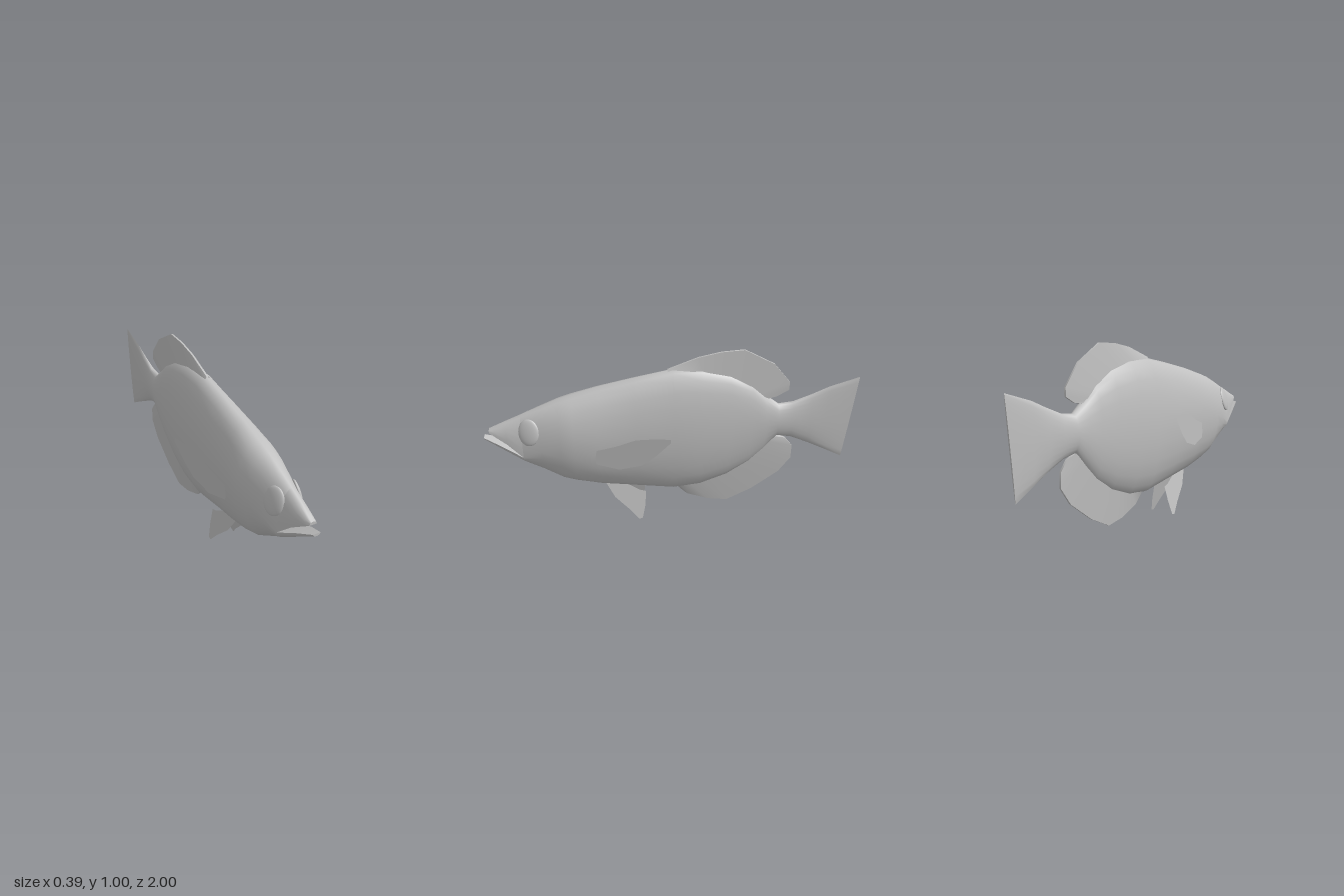
import * as THREE from 'three';
import { toCreasedNormals } from 'three/addons/utils/BufferGeometryUtils.js';

const SEG = 24;

// Joins equal-length rows of [x, y, z] points into a surface, rows running front to back.
function skin(rows, closed) {
  const n = rows[0].length, pos = rows.flat(2), idx = [];
  for (let i = 0; i < rows.length - 1; i++) {
    for (let j = 0; j < (closed ? n : n - 1); j++) {
      const k = (j + 1) % n, a = i * n + j, b = i * n + k;
      idx.push(a, a + n, b, b, a + n, b + n);
    }
  }
  if (closed) {
    // end caps
    [0, rows.length - 1].forEach((r, end) => {
      const c = pos.length / 3;
      for (let q = 0; q < 3; q++) pos.push(rows[r].reduce((t, p) => t + p[q], 0) / n);
      for (let j = 0; j < n; j++) {
        const a = r * n + j, b = r * n + (j + 1) % n;
        if (end) idx.push(c, b, a); else idx.push(c, a, b);
      }
    });
  }
  const g = new THREE.BufferGeometry();
  g.setAttribute('position', new THREE.Float32BufferAttribute(pos, 3));
  g.setIndex(idx);
  return toCreasedNormals(g, 0.9);
}

// Cross-section: half ellipse above and half ellipse below the widest line.
function ring([z, top, mid, bottom, w, lean = 0]) {
  return Array.from({ length: SEG }, (_, j) => {
    const a = j / SEG * Math.PI * 2, s = Math.sin(a);
    const y = mid + s * (s > 0 ? top - mid : mid - bottom);
    return [w * Math.cos(a), y, z - lean * (y - bottom) / (top - bottom)];
  });
}

// Median fin that tapers from a wide root to a thin edge; dir is 1 above, -1 below.
function medianFin(pairs, dir) {
  return skin(pairs.map(([ze, ye, zr, yr]) => [
    [0.022 * dir, yr, zr], [0.005 * dir, ye, ze], [-0.005 * dir, ye, ze], [-0.022 * dir, yr, zr],
  ]), false);
}

// Thin paired fin: outline in (z, y), sideways position given by a rule.
function sideFin(outline, side, xRule) {
  const g = new THREE.ShapeGeometry(new THREE.Shape(outline.map(([z, y]) => new THREE.Vector2(z, y))));
  const p = g.attributes.position;
  for (let i = 0; i < p.count; i++) {
    const z = p.getX(i), y = p.getY(i);
    p.setXYZ(i, side * xRule(z, y), y, z);
  }
  // the left side needs its corners reversed to face outward
  if (side > 0) g.setIndex(Array.from(g.index.array).reverse());
  g.computeVertexNormals();
  return g;
}

export function createModel() {
  const fish = new THREE.Group();
  fish.name = 'fish';
  const grey = new THREE.MeshStandardMaterial({ color: 0xc0c0c0, side: THREE.DoubleSide });
  grey.name = 'grey';
  const add = (name, geometry) => {
    const m = new THREE.Mesh(geometry, grey);
    m.name = name;
    fish.add(m);
    return m;
  };

  // Body and tail: z, top, widest height, bottom, half width, lean
  add('bodyAndTail', skin([
    [0.8, 0.68, 0.455, 0.41, 0.07],
    [0.7, 0.722, 0.5, 0.345, 0.095],
    [0.6, 0.762, 0.53, 0.28, 0.117],
    [0.53, 0.783, 0.54, 0.258, 0.128],
    [0.4, 0.82, 0.54, 0.225, 0.119],
    [0.2, 0.865, 0.54, 0.195, 0.113],
    [0.0, 0.905, 0.54, 0.165, 0.109],
    [-0.15, 0.9, 0.54, 0.18, 0.099],
    [-0.3, 0.865, 0.54, 0.235, 0.08],
    [-0.42, 0.8, 0.55, 0.31, 0.063],
    [-0.5, 0.725, 0.56, 0.39, 0.052],
    [-0.57, 0.67, 0.57, 0.475, 0.043],
    [-0.65, 0.68, 0.57, 0.46, 0.033],
    [-0.75, 0.72, 0.57, 0.415, 0.024],
    [-0.84, 0.76, 0.57, 0.37, 0.016],
    [-0.955, 0.81, 0.57, 0.31, 0.004, 0.045],
  ].map(ring), true));

  // Pointed snout and the lower jaw, parted by the open mouth
  add('snout', skin([
    [0.97, 0.605, 0.588, 0.588, 0.02],
    [0.94, 0.618, 0.57, 0.57, 0.032],
    [0.88, 0.645, 0.53, 0.53, 0.05],
    [0.8, 0.68, 0.455, 0.455, 0.07],
  ].map(ring), true));
  add('lowerJaw', skin([
    [1.0, 0.56, 0.56, 0.546, 0.02],
    [0.9, 0.513, 0.513, 0.478, 0.048],
    [0.8, 0.455, 0.455, 0.41, 0.07],
  ].map(ring), true));

  // Median fins: edge z, y then root z, y
  add('dorsalFin', medianFin([
    [0.03, 0.905, 0.03, 0.88], [-0.13, 0.965, -0.08, 0.87], [-0.25, 0.99, -0.17, 0.86],
    [-0.37, 0.997, -0.27, 0.83], [-0.53, 0.91, -0.36, 0.79], [-0.62, 0.8, -0.41, 0.75],
    [-0.62, 0.755, -0.43, 0.73], [-0.56, 0.72, -0.45, 0.71], [-0.49, 0.71, -0.46, 0.7],
  ], 1));
  add('analFin', medianFin([
    [-0.03, 0.16, -0.03, 0.19], [-0.08, 0.11, -0.08, 0.2], [-0.2, 0.065, -0.15, 0.22],
    [-0.31, 0.05, -0.25, 0.25], [-0.45, 0.12, -0.33, 0.28], [-0.6, 0.23, -0.42, 0.35],
    [-0.665, 0.32, -0.47, 0.41], [-0.665, 0.4, -0.5, 0.45], [-0.62, 0.455, -0.53, 0.48],
    [-0.57, 0.48, -0.54, 0.49],
  ], -1));

  // Paired parts
  for (const [side, label] of [[1, 'left'], [-1, 'right']]) {
    add(label + 'PectoralFin', sideFin([
      [0.43, 0.5], [0.42, 0.42], [0.3, 0.395], [0.18, 0.43], [0.11, 0.49],
      [0.03, 0.58], [0.03, 0.6], [0.1, 0.6], [0.21, 0.585], [0.31, 0.54],
    ], side, z => 0.115 + (0.43 - z) * 0.205));

    add(label + 'PelvicFin', sideFin([
      [0.38, 0.235], [0.33, 0.14], [0.25, 0.06], [0.2, 0], [0.18, 0.005],
      [0.163, 0.08], [0.155, 0.165], [0.19, 0.175], [0.29, 0.235],
    ], side, (z, y) => 0.074 - y * 0.235));

    const eye = add(label + 'Eye', new THREE.SphereGeometry(1, 20, 14));
    eye.scale.set(0.016, 0.073, 0.057);
    eye.position.set(side * 0.064, 0.605, 0.76);
    eye.rotation.set(0, side * -0.3, side * 0.25);
  }
  return fish;
}
